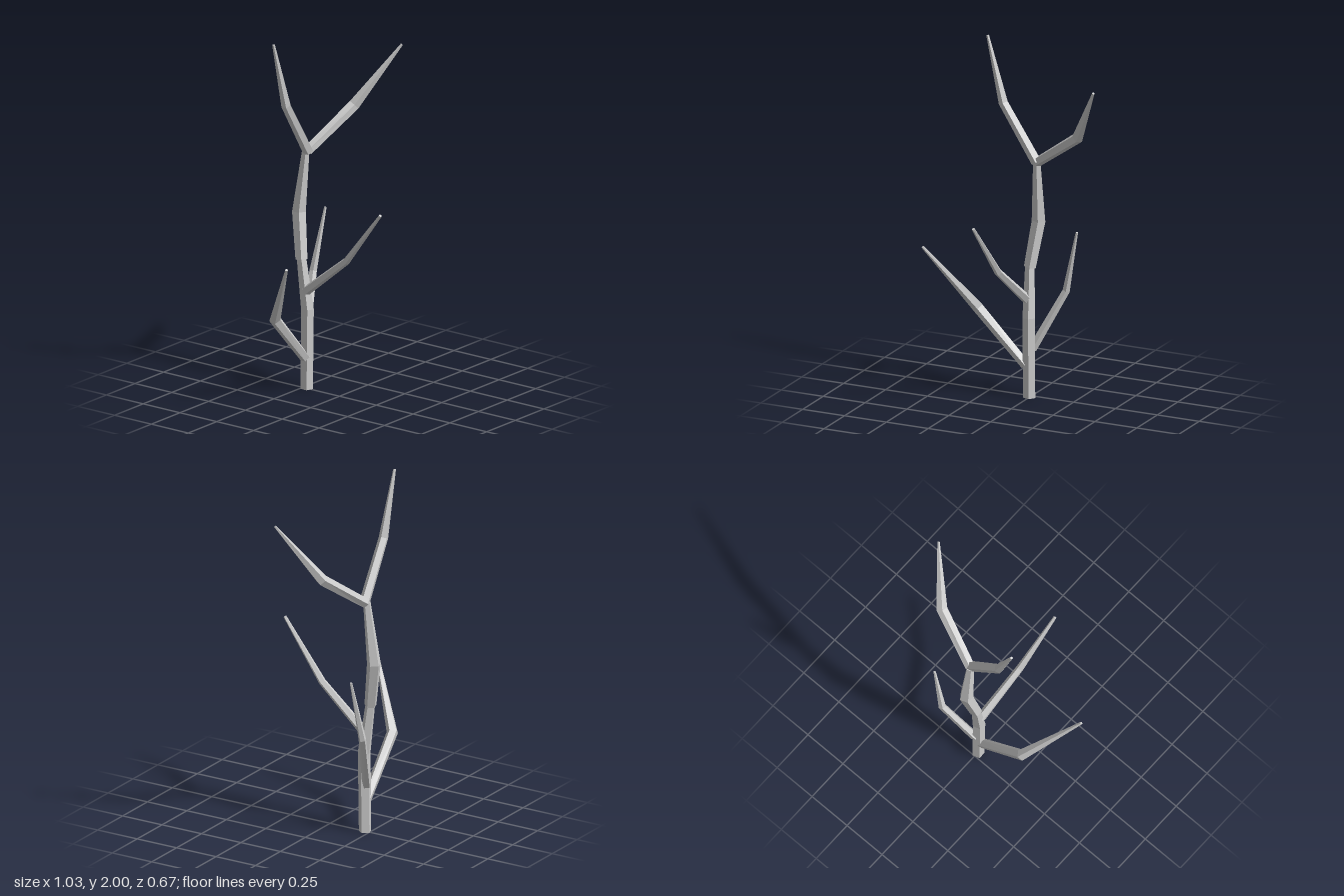
import * as THREE from 'three';

const SIDES = 5;
const bark = new THREE.MeshStandardMaterial({ color: 0xcccccc });
bark.name = 'pale grey bark';

// Five-sided tapering limb through points [x, y, z, radius], with mitred joints and closed ends
function limb(name, points) {
  const centres = points.map(([x, y, z]) => new THREE.Vector3(x, y, z));
  const up = new THREE.Vector3(0, 1, 0);
  const last = points.length - 1;
  const rings = centres.map((c, i) => {
    const tangent = new THREE.Vector3();
    if (i > 0) tangent.add(c.clone().sub(centres[i - 1]).normalize());
    if (i < last) tangent.add(centres[i + 1].clone().sub(c).normalize());
    const turn = new THREE.Quaternion().setFromUnitVectors(up, tangent.normalize());
    return Array.from({ length: SIDES }, (_, k) => {
      const a = (k / SIDES) * Math.PI * 2;
      return new THREE.Vector3(Math.cos(a), 0, -Math.sin(a))
        .multiplyScalar(points[i][3]).applyQuaternion(turn).add(c);
    });
  });

  const corners = [];
  for (let k = 0; k < SIDES; k++) {
    const n = (k + 1) % SIDES;
    for (let i = 0; i < last; i++) {
      const a = rings[i][k], b = rings[i][n], c = rings[i + 1][n], d = rings[i + 1][k];
      corners.push(a, b, c, a, c, d);
    }
    corners.push(centres[0], rings[0][n], rings[0][k]);
    corners.push(centres[last], rings[last][k], rings[last][n]);
  }
  // Unshared corners give flat facets
  const geometry = new THREE.BufferGeometry().setFromPoints(corners);
  geometry.computeVertexNormals();
  const mesh = new THREE.Mesh(geometry, bark);
  mesh.name = name;
  return mesh;
}

export function createModel() {
  const tree = new THREE.Group();
  tree.name = 'bareTree';
  tree.add(
    // Trunk in two sections
    limb('lowerTrunk', [[0, 0, -0.222, 0.035], [0, 0.45, -0.217, 0.036], [-0.01, 0.735, -0.25, 0.027]]),
    limb('upperTrunk', [[-0.01, 0.725, -0.25, 0.034], [0.022, 0.98, -0.292, 0.039], [0.03, 1.33, -0.252, 0.021]]),
    // Fork at the crown
    limb('crownRightBranch', [[0.035, 1.325, -0.24, 0.03], [-0.162, 1.635, -0.237, 0.027], [-0.26, 1.998, -0.245, 0.008]]),
    limb('crownLeftBranch', [[0.035, 1.325, -0.245, 0.028], [0.322, 1.53, -0.152, 0.032], [0.505, 1.86, 0.03, 0.007]]),
    // Side branches on the lower trunk
    limb('lowRightBranch', [[-0.02, 0.18, -0.22, 0.028], [-0.298, 0.47, -0.207, 0.032], [-0.51, 0.85, 0.037, 0.008]]),
    limb('lowLeftBranch', [[0.01, 0.27, -0.238, 0.025], [0.175, 0.6, -0.315, 0.021], [0.25, 0.945, -0.29, 0.007]]),
    limb('frontBranch', [[-0.015, 0.555, -0.215, 0.027], [-0.04, 0.785, 0.075, 0.021], [-0.065, 1.1, 0.328, 0.009]]),
  );
  return tree;
}
